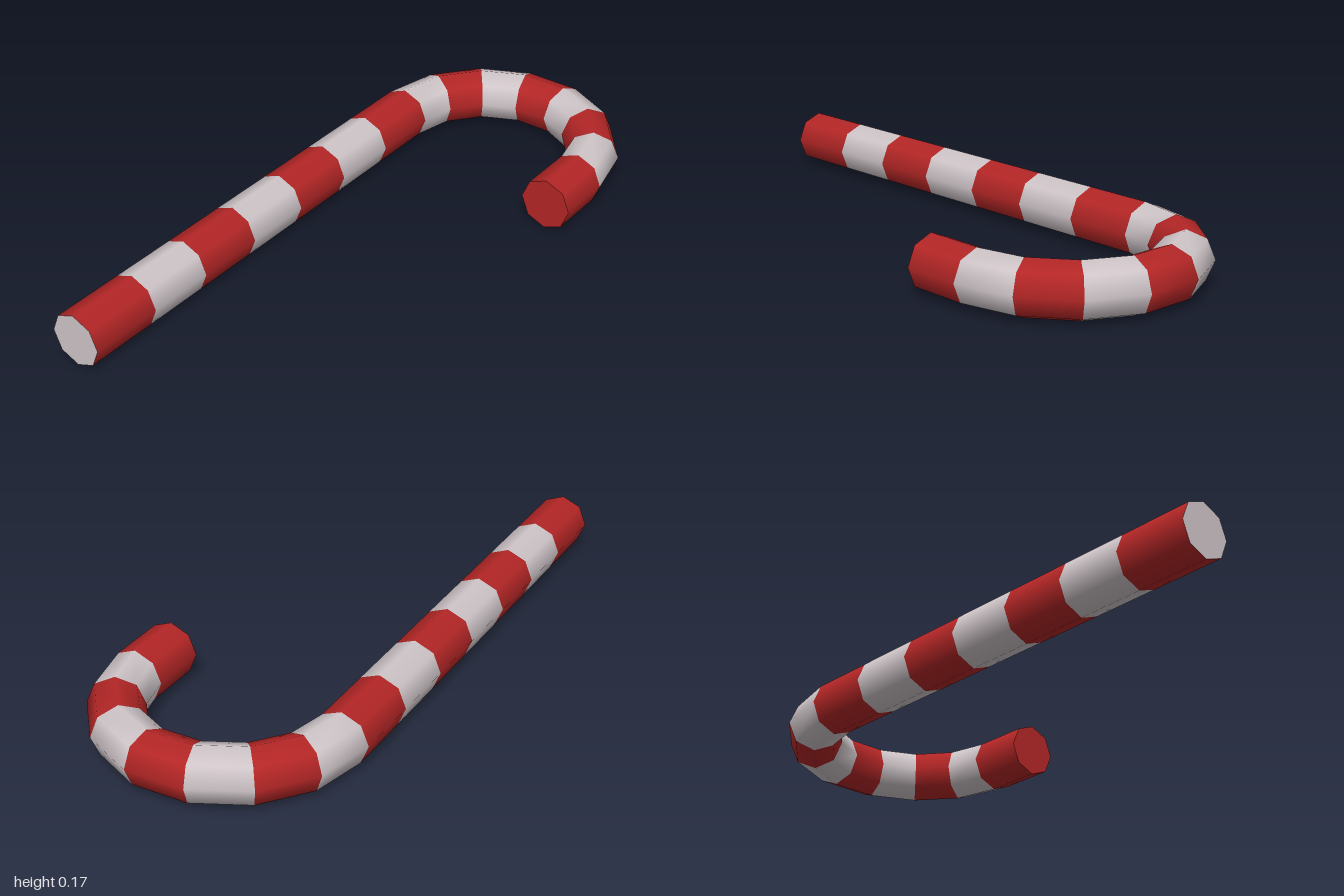
import * as THREE from 'three';

const SIDES = 8, TUBE = 0.087, BEND = 0.345, BEND_Z = -0.58, BEND_STEPS = 7;

// Cross-section of the cane: centre (x, z) and the angle of its outward axis (0 = -x, PI = +x)
const section = (x, z, angle) => ({ x, z, angle });

// One coloured band: a smooth eight-sided sleeve between two sections
function bandGeometry(from, to) {
  const positions = [], normals = [], index = [];
  for (const s of [from, to]) {
    for (let j = 0; j <= SIDES; j++) {
      const a = (j / SIDES) * Math.PI * 2;
      const nx = -Math.cos(s.angle) * Math.cos(a);
      const ny = Math.sin(a);
      const nz = -Math.sin(s.angle) * Math.cos(a);
      normals.push(nx, ny, nz);
      positions.push(s.x + TUBE * nx, TUBE + TUBE * ny, s.z + TUBE * nz);
    }
  }
  for (let j = 0; j < SIDES; j++) {
    const k = j + SIDES + 1;
    index.push(j, j + 1, k, j + 1, k + 1, k);
  }
  const geometry = new THREE.BufferGeometry();
  geometry.setAttribute('position', new THREE.Float32BufferAttribute(positions, 3));
  geometry.setAttribute('normal', new THREE.Float32BufferAttribute(normals, 3));
  geometry.setIndex(index);
  return geometry;
}

export function createModel() {
  const cane = new THREE.Group();
  cane.name = 'candyCane';
  const red = new THREE.MeshStandardMaterial({ color: 0xb52626 });
  const white = new THREE.MeshStandardMaterial({ color: 0xd0c6c9 });

  // Straight shaft, then the half-circle bend, then the short tip
  const shaft = [1, 0.76, 0.54, 0.315, 0.09, -0.13, -0.355].map((z) => section(-BEND, z, 0));
  const bend = [];
  for (let i = 0; i <= BEND_STEPS; i++) {
    const a = (i / BEND_STEPS) * Math.PI;
    bend.push(section(-BEND * Math.cos(a), BEND_Z - BEND * Math.sin(a), a));
  }
  const tip = section(BEND, -0.39, Math.PI);
  const sections = [...shaft, ...bend, tip];

  // Alternating stripes, red at both ends
  for (let i = 0; i < sections.length - 1; i++) {
    const band = new THREE.Mesh(bandGeometry(sections[i], sections[i + 1]), i % 2 ? white : red);
    const part = i < shaft.length ? 'shaft' : i < shaft.length + BEND_STEPS ? 'bend' : 'tip';
    band.name = `${part}${i % 2 ? 'White' : 'Red'}Stripe${i + 1}`;
    cane.add(band);
  }

  // Flat ends, both facing forward
  const addCap = (name, s, material) => {
    const cap = new THREE.Mesh(new THREE.CircleGeometry(TUBE, SIDES), material);
    cap.name = name;
    cap.position.set(s.x, TUBE, s.z);
    cane.add(cap);
  };
  addCap('shaftEndCap', sections[0], white);
  addCap('tipEndCap', tip, red);

  return cane;
}
